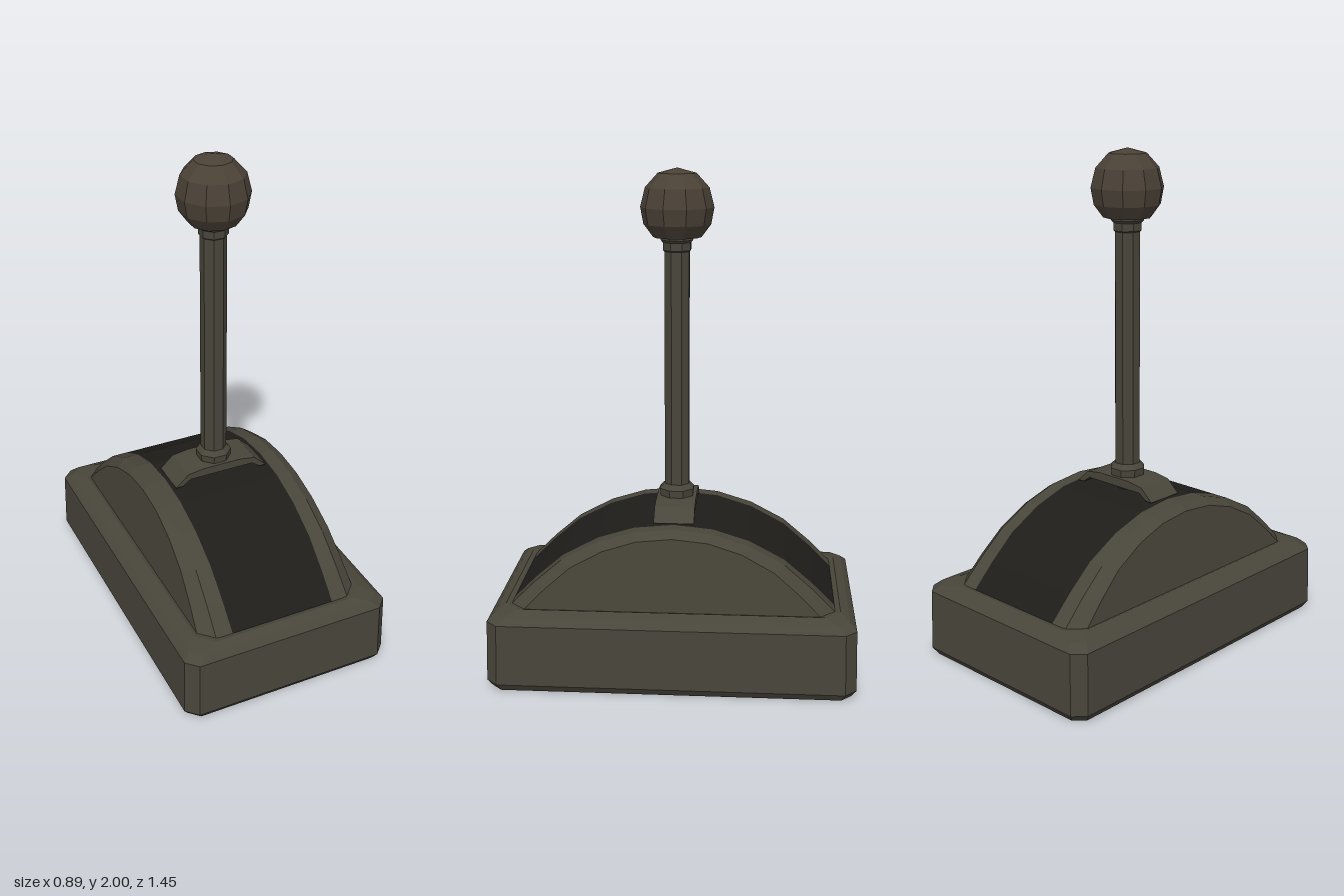
import * as THREE from 'three';

const paint = (color) => new THREE.MeshStandardMaterial({ color, flatShading: true, side: THREE.DoubleSide });
const metal = paint(0x48453a);
const dark = paint(0x1e1d1a);
const brown = paint(0x4a4136);

// Skin a list of equal-length point rows; closed joins each row's end to its start
function loft(rows, closed) {
  const n = rows[0].length, index = [];
  for (let i = 0; i < rows.length - 1; i++) {
    for (let j = 0; j < (closed ? n : n - 1); j++) {
      const k = (j + 1) % n;
      const a = i * n + j, b = i * n + k, c = a + n, d = b + n;
      index.push(a, c, b, b, c, d);
    }
  }
  const g = new THREE.BufferGeometry();
  g.setAttribute('position', new THREE.Float32BufferAttribute(rows.flat(2), 3));
  g.setIndex(index);
  g.computeVertexNormals();
  return g;
}

// Rectangle with cut corners at height y
function ring(y, hx, hz, cx, cz) {
  return [
    [hx, y, hz - cz], [hx - cx, y, hz], [cx - hx, y, hz], [-hx, y, hz - cz],
    [-hx, y, cz - hz], [cx - hx, y, -hz], [hx - cx, y, -hz], [hx, y, cz - hz],
  ];
}

export function createModel() {
  const model = new THREE.Group();
  const add = (name, geometry, material) => {
    const mesh = new THREE.Mesh(geometry, material);
    mesh.name = name;
    model.add(mesh);
    return mesh;
  };

  // Open-bottomed base with bevelled edges, its top opening under the dome
  add('base', loft([
    ring(0, 0.425, 0.705, 0.04, 0.04),
    ring(0.03, 0.445, 0.725, 0.045, 0.045),
    ring(0.275, 0.44, 0.72, 0.045, 0.045),
    ring(0.3, 0.41, 0.695, 0.045, 0.045),
    ring(0.315, 0.36, 0.66, 0.06, 0.06),
    ring(0.31, 0.345, 0.64, 0.075, 0.06),
  ], true), metal);

  // Arched dome outline, as z and y
  const half = [[0.64, 0.31], [0.55, 0.4], [0.44, 0.495], [0.3, 0.57], [0.155, 0.615]];
  const arc = [...half, [0, 0.63], ...half.slice().reverse().map(([z, y]) => [-z, y])];

  // Sloping dome sides and their bevelled rims
  for (const [side, s] of [['left', 1], ['right', -1]]) {
    add(side + 'DomeSide', loft(arc.map(([z, y]) => {
      const low = 0.31 + (y - 0.31) * 0.92;
      const zi = z * 0.907;
      return [
        [s * 0.345, 0.31, zi],
        [s * (0.345 - (low - 0.31) * 0.09), low, zi],
        [s * (0.29 - (y - 0.31) * 0.04), y, z],
        [s * 0.22, y, z],
      ];
    })), metal);
  }

  // Dark band across the dome
  add('domeBand', loft(arc.map(([z, y]) => [[-0.22, y, z], [0, y, z], [0.22, y, z]])), dark);

  // Thin bridge clip that holds the lever
  const clip = new THREE.Shape([
    [-0.205, 0.63], [-0.15, 0.68], [-0.08, 0.69], [0.08, 0.69], [0.15, 0.68], [0.205, 0.63],
    [0.175, 0.63], [0.14, 0.655], [-0.14, 0.655], [-0.175, 0.63],
  ].map(([x, y]) => new THREE.Vector2(x, y)));
  add('clip', new THREE.ExtrudeGeometry(clip, { depth: 0.16, bevelEnabled: false }).translate(0, 0, -0.08), metal);

  // Octagonal lever with a collar at each end
  const lever = [
    [0, 0.63], [0.04, 0.63], [0.07, 0.685], [0.073, 0.72], [0.053, 0.74], [0.052, 1.68],
    [0.058, 1.685], [0.058, 1.715], [0.068, 1.725], [0.068, 1.76], [0, 1.76],
  ].map(([r, y]) => new THREE.Vector2(r, y));
  add('lever', new THREE.LatheGeometry(lever, 8, Math.PI / 8), metal);

  // Faceted ball knob, flattened underneath where it meets the collar
  const knob = [
    [0, 1.73], [0.095, 1.735], [0.132, 1.785], [0.144, 1.85], [0.125, 1.925], [0.075, 1.98], [0, 2],
  ].map(([r, y]) => new THREE.Vector2(r, y));
  add('knob', new THREE.LatheGeometry(knob, 10), brown);

  return model;
}
